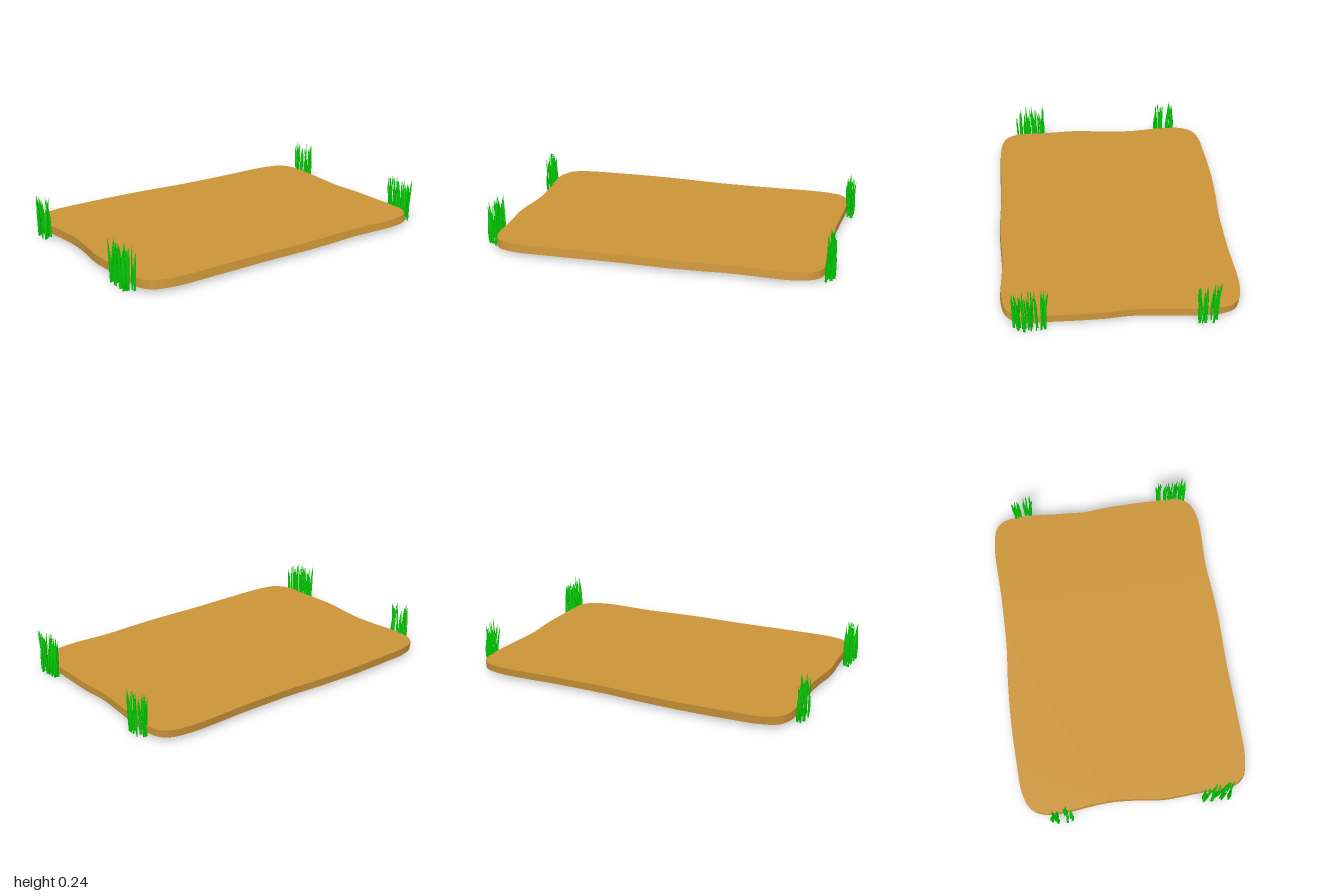
import * as THREE from 'three';
import { mergeGeometries } from 'three/addons/utils/BufferGeometryUtils.js';

// Small seeded generator so the tufts are always the same
function seeded(seed) {
  return () => {
    seed = (seed * 16807) % 2147483647;
    return seed / 2147483647;
  };
}

// Wavy rounded rectangle, as x and z pairs
const OUTLINE = [
  [-0.63, -0.79], [-0.628, -0.4], [-0.632, -0.1], [-0.648, 0.12], [-0.657, 0.38],
  [-0.652, 0.62], [-0.643, 0.78], [-0.608, 0.88], [-0.53, 0.923], [-0.4, 0.926],
  [-0.27, 0.912], [-0.15, 0.905], [-0.02, 0.914], [0.14, 0.934], [0.35, 0.925],
  [0.54, 0.917], [0.61, 0.876], [0.643, 0.78], [0.648, 0.5], [0.643, 0.2],
  [0.648, -0.1], [0.642, -0.28], [0.633, -0.45], [0.638, -0.77], [0.605, -0.88],
  [0.54, -0.925], [0.35, -0.934], [0.1, -0.932], [-0.04, -0.92], [-0.2, -0.929],
  [-0.51, -0.94], [-0.595, -0.9],
];

function slabGeometry() {
  const curve = new THREE.CatmullRomCurve3(
    OUTLINE.map(([x, z]) => new THREE.Vector3(x, 0, z)), true);
  const shape = new THREE.Shape(
    curve.getSpacedPoints(180).slice(0, -1).map(p => new THREE.Vector2(p.x, -p.z)));
  const g = new THREE.ExtrudeGeometry(shape, { depth: 0.045, bevelEnabled: false });
  g.rotateX(-Math.PI / 2);
  // The underside sits slightly to the side, and the top dips towards the back
  const p = g.attributes.position;
  for (let i = 0; i < p.count; i++) {
    const x = p.getX(i), y = p.getY(i), z = p.getZ(i);
    if (y < 0.02) p.setX(i, x + 0.006);
    p.setY(i, y + 0.023 + (y > 0.02 ? 0.003 * z : 0));
  }
  g.computeVertexNormals();
  return g;
}

// One flattened, rounded blade, widest low down, tapering and bending to its tip
function bladeGeometry(x, z, height, width, yaw, leanX, leanZ, wave) {
  const g = new THREE.CylinderGeometry(1, 1, 1, 8, 9, true);
  g.translate(0, 0.5, 0);
  const p = g.attributes.position;
  const c = Math.cos(yaw), s = Math.sin(yaw);
  for (let i = 0; i < p.count; i++) {
    const t = p.getY(i);
    const r = width * (0.6 + 0.9 * t) * (1 - t * t) + 0.0006;
    const u = p.getX(i) * r, v = p.getZ(i) * r * 0.6;
    const sway = wave * Math.sin(t * 5);
    p.setXYZ(i,
      x + u * c - v * s + leanX * t * t + sway,
      0.002 + t * height,
      z + u * s + v * c + leanZ * t * t + sway * 0.5);
  }
  g.computeVertexNormals();
  return g;
}

// A tuft is a row of small bunches of blades
function tuftGeometry(bunches, z, seed) {
  const rnd = seeded(seed);
  const spread = a => (rnd() * 2 - 1) * a;
  const blades = [];
  for (const x of bunches) {
    for (let i = 0; i < 7; i++) {
      blades.push(bladeGeometry(
        x + spread(0.02), z + spread(0.026),
        0.195 + rnd() * 0.05, 0.0075 + rnd() * 0.003, rnd() * Math.PI,
        spread(0.014), spread(0.02), spread(0.006)));
    }
  }
  return mergeGeometries(blades);
}

export function createModel() {
  const model = new THREE.Group();
  model.name = 'groundPatch';

  const earth = new THREE.MeshStandardMaterial({ color: 0xcb9538 });
  earth.name = 'earthBrown';
  const grass = new THREE.MeshStandardMaterial({ color: 0x00cc00, side: THREE.DoubleSide });
  grass.name = 'grassGreen';

  const add = (name, geometry, material) => {
    const mesh = new THREE.Mesh(geometry, material);
    mesh.name = name;
    model.add(mesh);
  };

  add('slab', slabGeometry(), earth);

  // Grass tufts near the four corners
  const tufts = [
    ['frontRightTuft', [-0.47, -0.4], 0.953, 4711],
    ['frontLeftTuft', [0.39, 0.435, 0.48, 0.53], 0.953, 9137],
    ['backRightTuft', [-0.47, -0.4], -0.96, 15013],
    ['backLeftTuft', [0.425, 0.47, 0.515, 0.56], -0.953, 27191],
  ];
  for (const [name, bunches, z, seed] of tufts) {
    add(name, tuftGeometry(bunches, z, seed), grass);
  }
  return model;
}
